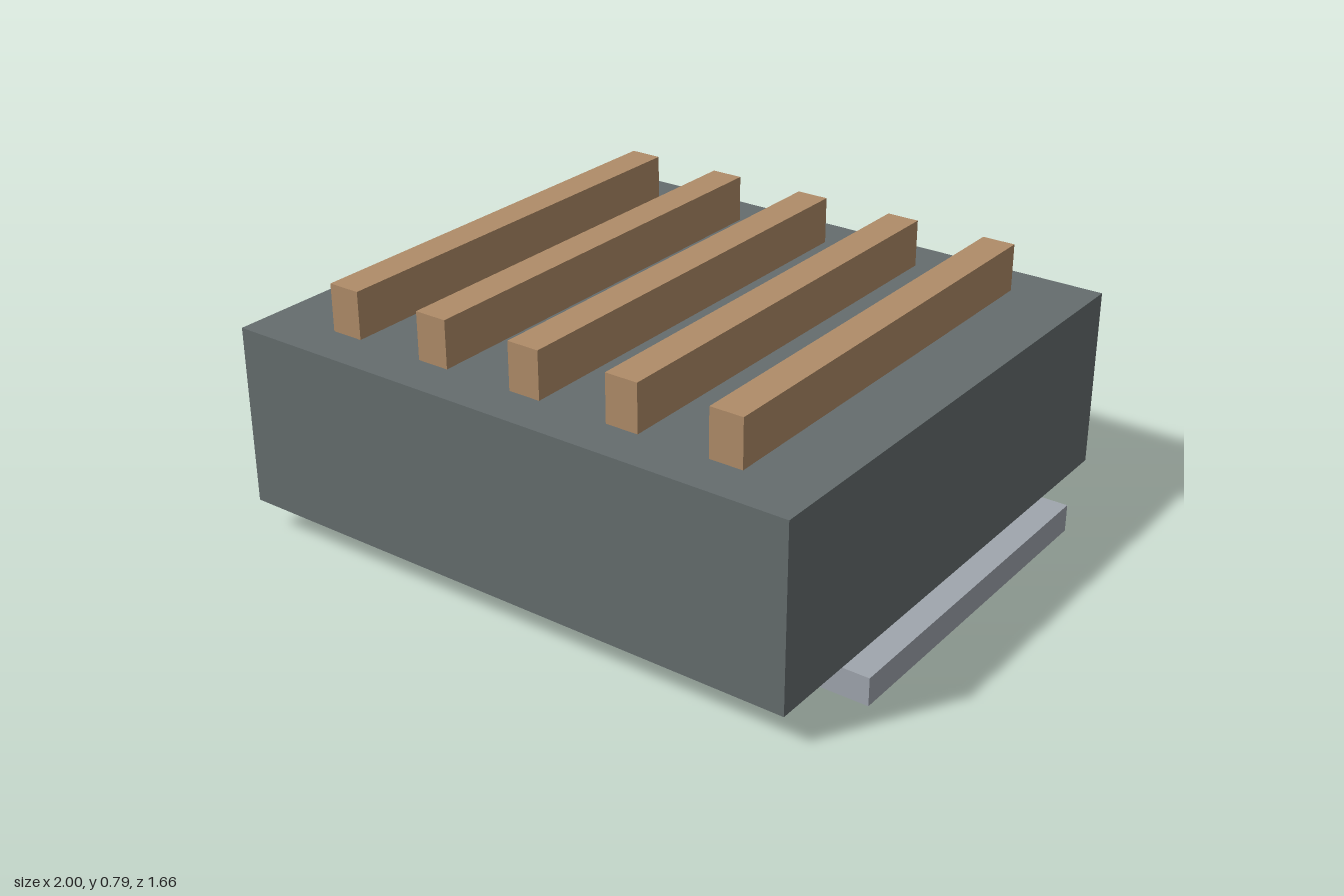
import * as THREE from 'three';

const paint = (name, color) => {
  const material = new THREE.MeshStandardMaterial({ color });
  material.name = name;
  return material;
};

// Box given by its centre x, its bottom and top heights, width and depth
function block(name, material, x, bottom, top, width, depth) {
  const mesh = new THREE.Mesh(new THREE.BoxGeometry(width, top - bottom, depth), material);
  mesh.position.set(x, (bottom + top) / 2, 0);
  mesh.name = name;
  return mesh;
}

export function createModel() {
  const slate = paint('slate grey', 0x656d6e);
  const copper = paint('copper tan', 0xb08c68);
  const steel = paint('light steel', 0xa0a6ae);

  const model = new THREE.Group();
  model.name = 'finnedBlock';

  // Main body, floating just clear of the mounting rails
  model.add(block('body', slate, 0, 0.092, 0.645, 1.846, 1.66));

  // Mounting rails under the left and right edges
  for (const [side, label] of [[1, 'left'], [-1, 'right']]) {
    model.add(block(`${label}Rail`, steel, side * 0.87, 0, 0.085, 0.26, 1.108));
  }

  // Five evenly spaced fins on top
  for (let i = -2; i <= 2; i++) {
    model.add(block(`fin${i + 3}`, copper, i * 0.323, 0.645, 0.79, 0.102, 1.384));
  }

  return model;
}
